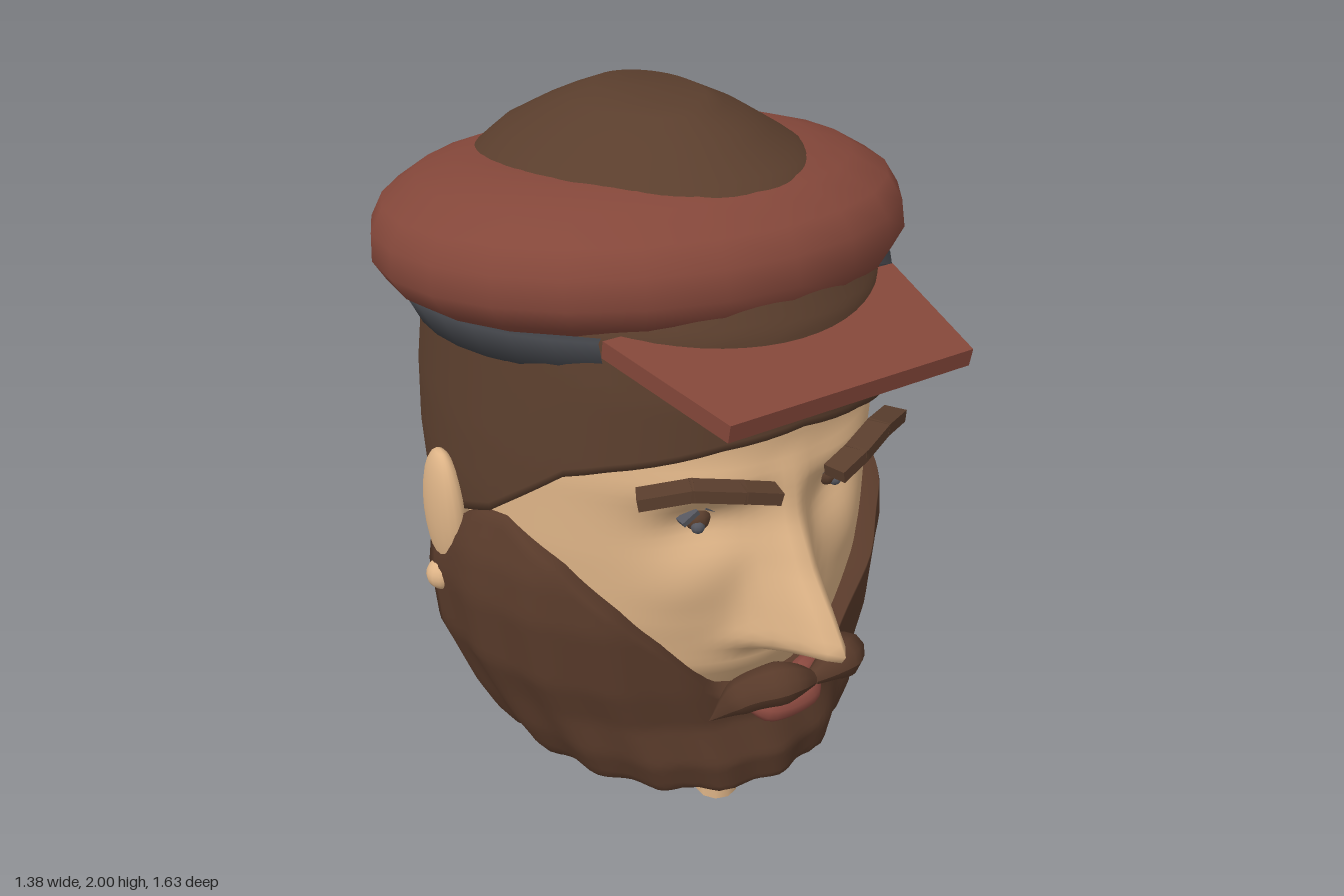
import * as THREE from 'three';

const paint = (name, color, side = THREE.FrontSide) => {
  const m = new THREE.MeshStandardMaterial({ color, side });
  m.name = name;
  return m;
};
const rad = THREE.MathUtils.degToRad;
const bump = (d, width) => Math.exp(-((d / width) ** 2));

// Read column c of a table whose first column is the key
function read(table, key, c = 1) {
  if (key <= table[0][0]) return table[0][c];
  for (let i = 1; i < table.length; i++) {
    const a = table[i - 1], b = table[i];
    if (key <= b[0]) return a[c] + (b[c] - a[c]) * (key - a[0]) / (b[0] - a[0]);
  }
  return table[table.length - 1][c];
}

// Elliptical shell: profile rows are [y, half width, front z, back z];
// point(a, i, j) gives the height, an inward scale and a forward push
const MID = -0.08;
function shell(profile, span, cols, rows, point) {
  const pos = [], index = [];
  for (let j = 0; j <= rows; j++) {
    for (let i = 0; i <= cols; i++) {
      const a = rad(-span + 2 * span * i / cols);
      const { y, k = 1, push } = point(a, i, j);
      const w = read(profile, y);
      const depth = Math.cos(a) > 0 ? read(profile, y, 2) - MID : MID - read(profile, y, 3);
      const x = w * Math.sin(a) * k;
      const z = MID + depth * Math.cos(a) * k;
      pos.push(x, y, z + (push && Math.cos(a) > 0 ? push(x, y) : 0));
      if (i < cols && j < rows) {
        const p = j * (cols + 1) + i, q = p + cols + 1;
        index.push(p, p + 1, q + 1, p, q + 1, q);
      }
    }
  }
  const g = new THREE.BufferGeometry();
  g.setAttribute('position', new THREE.Float32BufferAttribute(pos, 3));
  g.setIndex(index);
  g.computeVertexNormals();
  return g;
}

// Tube whose radius follows a [t, radius] table
function sweep(points, radii) {
  const curve = new THREE.CatmullRomCurve3(points.map(p => new THREE.Vector3(...p)));
  const g = new THREE.TubeGeometry(curve, 18, 1, 10);
  const p = g.attributes.position, v = new THREE.Vector3();
  for (let n = 0; n < p.count; n++) {
    const t = Math.floor(n / 11) / 18, c = curve.getPointAt(t);
    v.fromBufferAttribute(p, n).sub(c).multiplyScalar(Math.max(read(radii, t), 0.001)).add(c);
    p.setXYZ(n, v.x, v.y, v.z);
  }
  g.computeVertexNormals();
  return g;
}

export function createModel() {
  const skin = paint('skin', 0xdeb487);
  const hairMat = paint('hair brown', 0x5a3e2d, THREE.DoubleSide);
  const beardMat = paint('beard brown', 0x583a2a, THREE.DoubleSide);
  const capRed = paint('cap red', 0x84473a);
  const lipRed = paint('lip red', 0x8c4a40);
  const bandGrey = paint('band grey', 0x404247, THREE.DoubleSide);
  const eyeGrey = paint('eye grey', 0x55565e);

  const model = new THREE.Group();
  const add = (name, geometry, material, parent = model) => {
    const m = new THREE.Mesh(geometry, material);
    m.name = name;
    parent.add(m);
    return m;
  };

  // Head with nose, eye sockets, brow ridge and cheeks pushed out of the face
  const headRows = [[0.2, 0.17, 0.12, -0.24], [0.32, 0.3, 0.3, -0.36], [0.45, 0.42, 0.42, -0.48],
    [0.65, 0.53, 0.53, -0.655], [0.8, 0.56, 0.55, -0.71], [1, 0.575, 0.55, -0.75],
    [1.2, 0.575, 0.55, -0.76], [1.4, 0.55, 0.55, -0.74], [1.6, 0.5, 0.5, -0.66], [1.8, 0.3, 0.3, -0.45]];
  const nose = [[0.7, 0, 0.1], [0.75, 0.14, 0.1], [0.8, 0.27, 0.075], [0.89, 0.2, 0.068],
    [0.98, 0.12, 0.06], [1.1, 0.05, 0.055], [1.2, 0.02, 0.05], [1.28, 0, 0.05]];
  const face = (x, y) => {
    const ax = Math.abs(x);
    return read(nose, y) * bump(x, read(nose, y, 2))
      - 0.055 * bump(ax - 0.2, 0.11) * bump(y - 1.09, 0.07)
      + 0.025 * bump(ax - 0.2, 0.17) * bump(y - 1.21, 0.05)
      + 0.015 * bump(ax - 0.27, 0.1) * bump(y - 0.92, 0.08);
  };
  add('head', shell(headRows, 180, 128, 66, (a, i, j) => ({
    y: 0.2 + 1.6 * Math.max(0, j - 1) / 65, k: j === 0 ? 0 : 1, push: face,
  })), skin);

  // Hair: from a shaped hairline, rolled under at its edge, up to a flat crown
  const hairRows = [[0.6, 0.565, 0.58, -0.7], [0.75, 0.585, 0.59, -0.745], [0.9, 0.6, 0.6, -0.775],
    [1.1, 0.605, 0.6, -0.8], [1.25, 0.595, 0.605, -0.81], [1.45, 0.572, 0.6, -0.775],
    [1.6, 0.555, 0.57, -0.74], [1.8, 0.44, 0.46, -0.62], [1.87, 0.36, 0.39, -0.54],
    [1.95, 0.23, 0.24, -0.38], [2, 0.12, 0.11, -0.25]];
  const hairline = [[0, 1.36], [20, 1.335], [45, 1.27], [55, 1.235], [75, 1.06], [85, 1.01], [100, 0.92],
    [109, 0.885], [126, 0.84], [140, 0.76], [150, 0.7], [165, 0.64], [180, 0.62]];
  add('hair', shell(hairRows, 180, 72, 42, (a, i, j) => {
    const edge = read(hairline, Math.abs(a) * 180 / Math.PI);
    const t = THREE.MathUtils.clamp((j - 1) / 40, 0, 1);
    return { y: edge + (2 - edge) * t, k: j === 0 ? 0.92 : j === 42 ? 0 : 1 };
  }), hairMat);

  // Beard: ear to ear, gathered to a ragged point underneath
  const beardRows = [[0.03, 0.22, 0.1, -0.72], [0.11, 0.34, 0.26, -0.72], [0.2, 0.46, 0.47, -0.72],
    [0.26, 0.5, 0.57, -0.72], [0.36, 0.55, 0.585, -0.72], [0.48, 0.595, 0.55, -0.72],
    [0.6, 0.64, 0.56, -0.72], [0.8, 0.657, 0.575, -0.72], [0.92, 0.64, 0.575, -0.72], [1.05, 0.585, 0.57, -0.72]];
  const beardline = [[0, 0.55], [16, 0.58], [20, 0.63], [30, 0.75], [40, 0.85], [55, 0.965],
    [72, 1.045], [80, 1.03], [90, 0.96], [99, 0.85]];
  add('beard', shell(beardRows, 99, 80, 34, (a, i, j) => {
    const top = read(beardline, Math.abs(a) * 180 / Math.PI);
    const t = THREE.MathUtils.clamp((j - 1) / 32, 0, 1);
    const ragged = (1 - t) ** 4 * 0.02 * Math.sin(a * 23);
    const strands = 1 + (0.006 + 0.025 * (1 - t) ** 2) * Math.sin(a * 19 + 3 * t);
    const rim = j === 34 || i === 0 || i === 80 ? 0.9 : 1;
    return { y: 0.045 + ragged + (top - 0.045) * t, k: j === 0 ? 0 : strands * rim };
  }), beardMat);

  // Lips
  add('upperLip', sweep([[-0.15, 0.59, 0.55], [-0.05, 0.635, 0.6], [0, 0.625, 0.61], [0.05, 0.635, 0.6],
    [0.15, 0.59, 0.55]], [[0, 0], [0.3, 0.03], [0.7, 0.03], [1, 0]]), lipRed);
  add('lowerLip', sweep([[-0.14, 0.575, 0.55], [-0.06, 0.545, 0.595], [0.06, 0.545, 0.595],
    [0.14, 0.575, 0.55]], [[0, 0], [0.3, 0.042], [0.7, 0.042], [1, 0]]), lipRed);

  for (const s of [1, -1]) {
    const side = s > 0 ? 'left' : 'right';

    // Moustache half
    add(side + 'Moustache', sweep([[0, 0.675, 0.69], [0.08 * s, 0.695, 0.685], [0.16 * s, 0.655, 0.63],
      [0.235 * s, 0.56, 0.575]], [[0, 0.02], [0.3, 0.058], [0.65, 0.048], [1, 0]]), beardMat);

    // Eyebrow: three short blocks along an arch
    const arch = [[0.09, 1.215, 0.62], [0.17, 1.235, 0.6], [0.28, 1.25, 0.55], [0.385, 1.23, 0.49]]
      .map(p => new THREE.Vector3(p[0] * s, p[1], p[2]));
    for (let n = 0; n < 3; n++) {
      const b = add(side + 'Eyebrow', new THREE.BoxGeometry(0.06, 0.032, arch[n].distanceTo(arch[n + 1]) + 0.012), hairMat);
      b.position.lerpVectors(arch[n], arch[n + 1], 0.5);
      b.lookAt(arch[n + 1]);
    }

    // Eye: iris, pupil and lid corners
    const eye = new THREE.Group();
    eye.name = side + 'Eye';
    eye.position.set(0.2 * s, 1.1, 0.455);
    model.add(eye);
    add('iris', new THREE.SphereGeometry(0.034, 12, 8), hairMat, eye);
    add('pupil', new THREE.SphereGeometry(0.018, 10, 8), eyeGrey, eye).position.set(0.012 * s, -0.012, 0.022);
    for (const [x, y] of [[-0.032, 0.026], [0.034, 0.02]]) {
      const lid = add('lidCorner', new THREE.BoxGeometry(0.05, 0.014, 0.03), eyeGrey, eye);
      lid.position.set(x * s, y, 0.012);
      lid.rotation.z = -0.5 * s * Math.sign(x);
    }

    // Ear and lobe
    const ear = add(side + 'Ear', new THREE.SphereGeometry(1, 20, 14), skin);
    ear.scale.set(0.05, 0.2, 0.095);
    ear.position.set(0.612 * s, 0.955, -0.11);
    ear.rotation.set(0.06, 0, -0.04 * s);
    add(side + 'Earlobe', new THREE.SphereGeometry(0.045, 14, 10), skin).position.set(0.635 * s, 0.765, -0.12);
  }

  // Cap: puffy crown and band, tilted up at the front
  const cap = new THREE.Group();
  cap.name = 'cap';
  cap.position.set(0, 1.605, -0.13);
  cap.rotation.x = rad(-5.7);
  model.add(cap);
  const crown = [[0.48, -0.085], [0.61, -0.07], [0.66, -0.035], [0.692, 0.02], [0.685, 0.09], [0.65, 0.15],
    [0.56, 0.205], [0.46, 0.235], [0.36, 0.25], [0.1, 0.255]];
  add('crown', new THREE.LatheGeometry(crown.map(p => new THREE.Vector2(...p)), 24), capRed, cap);
  const band = [[0.54, -0.15], [0.585, -0.15], [0.625, -0.06], [0.54, -0.06]];
  add('band', new THREE.LatheGeometry(band.map(p => new THREE.Vector2(...p)), 28, rad(43), rad(274)), bandGrey, cap)
    .scale.z = 1.13;

  // Visor: tapered flat plate
  const plate = new THREE.Shape([[-0.42, 0], [0.42, 0], [0.34, -0.385], [-0.34, -0.385]].map(p => new THREE.Vector2(...p)));
  const visor = add('visor', new THREE.ExtrudeGeometry(plate, { depth: 0.045, bevelEnabled: false }).rotateX(-Math.PI / 2), capRed);
  visor.position.set(0, 1.56, 0.39);
  visor.rotation.x = rad(9.5);

  // Small peg under the chin
  add('peg', new THREE.CylinderGeometry(0.062, 0.062, 0.075, 10), skin).position.set(0, 0.0375, 0.285);

  return model;
}
